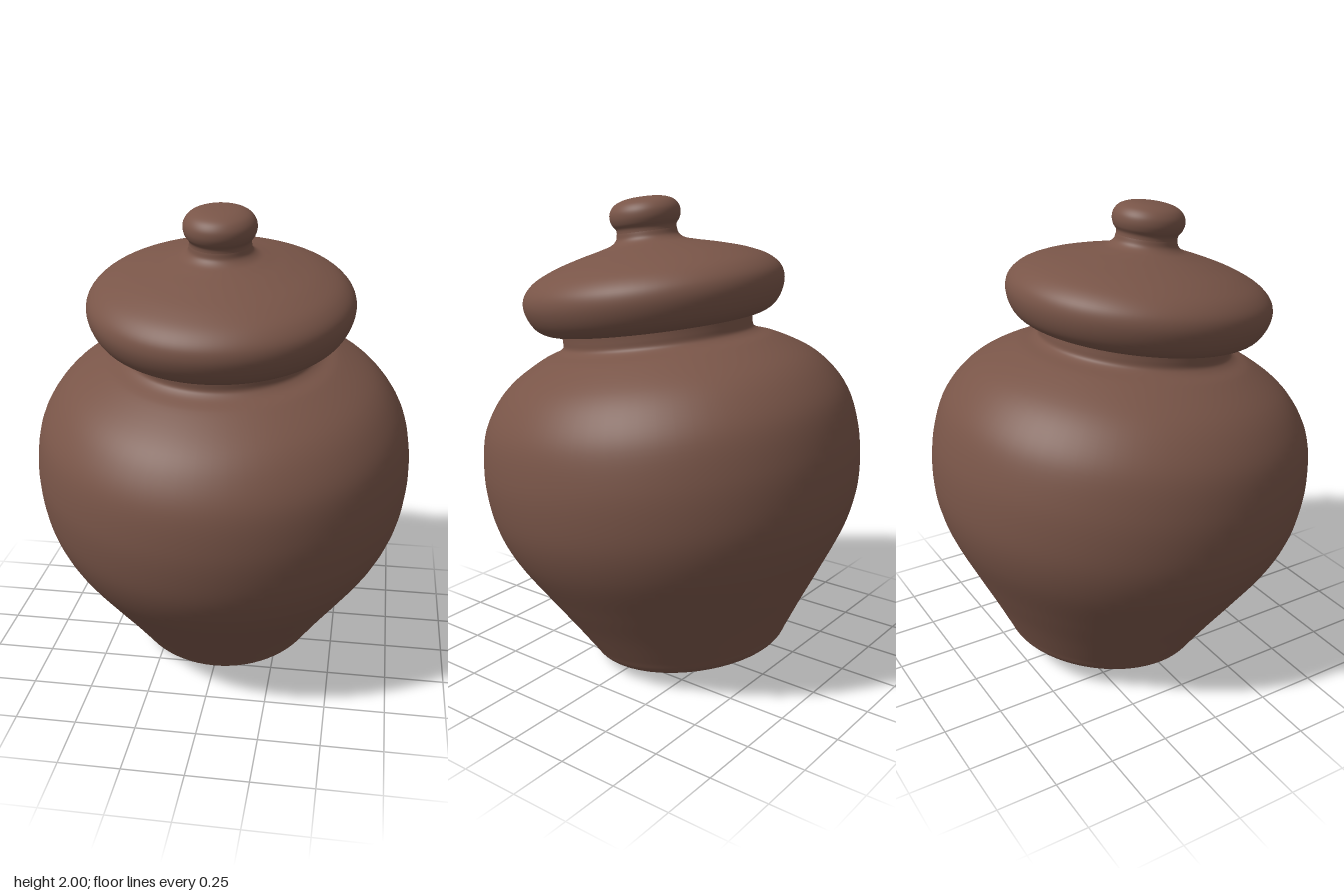
import * as THREE from 'three';

// Smooth lathe from a few [radius, height] points, listed bottom to top
function turned(name, points, steps, material, placement) {
  const curve = new THREE.CatmullRomCurve3(
    points.map(([r, h]) => new THREE.Vector3(r, h, 0)), false, 'centripetal');
  const profile = curve.getPoints(steps).map(p => new THREE.Vector2(Math.max(p.x, 0), p.y));
  const geometry = new THREE.LatheGeometry(profile, 72);
  geometry.applyMatrix4(placement);
  const mesh = new THREE.Mesh(geometry, material);
  mesh.name = name;
  return mesh;
}

export function createModel() {
  const group = new THREE.Group();
  group.name = 'liddedJar';
  const clay = new THREE.MeshStandardMaterial({ color: 0x795548 });
  clay.name = 'brown clay';

  // The whole jar leans forward and is slightly narrower across x
  const lean = new THREE.Matrix4().makeBasis(
    new THREE.Vector3(0.973, -0.01, 0),
    new THREE.Vector3(0.004, 0.992, 0.129),
    new THREE.Vector3(0, -0.148, 0.989));
  lean.setPosition(0, 0.057, -0.115);

  // Pot with flat foot, wide shoulder and short neck
  group.add(turned('body', [
    [0, 0], [0.2, 0], [0.34, 0], [0.38, 0.007], [0.415, 0.03], [0.445, 0.075],
    [0.526, 0.2], [0.62, 0.34], [0.735, 0.522], [0.79, 0.657], [0.813, 0.79],
    [0.814, 0.92], [0.785, 1.07], [0.725, 1.175], [0.645, 1.255], [0.5, 1.338],
    [0.43, 1.363], [0.41, 1.38], [0.408, 1.41], [0.41, 1.46],
  ], 110, clay, lean));

  // Overhanging lid with a rounded rim
  group.add(turned('lid', [
    [0, 1.44], [0.25, 1.44], [0.405, 1.438], [0.46, 1.44], [0.51, 1.467],
    [0.543, 1.515], [0.557, 1.57], [0.547, 1.615], [0.505, 1.66], [0.42, 1.702],
    [0.3, 1.738], [0.2, 1.762], [0.155, 1.776], [0.133, 1.795], [0.127, 1.82],
  ], 80, clay, lean));

  // Button knob on a short stem
  group.add(turned('knob', [
    [0.127, 1.81], [0.128, 1.835], [0.142, 1.855], [0.15, 1.88], [0.147, 1.908],
    [0.128, 1.934], [0.095, 1.95], [0.05, 1.958], [0, 1.96],
  ], 40, clay, lean));

  return group;
}
